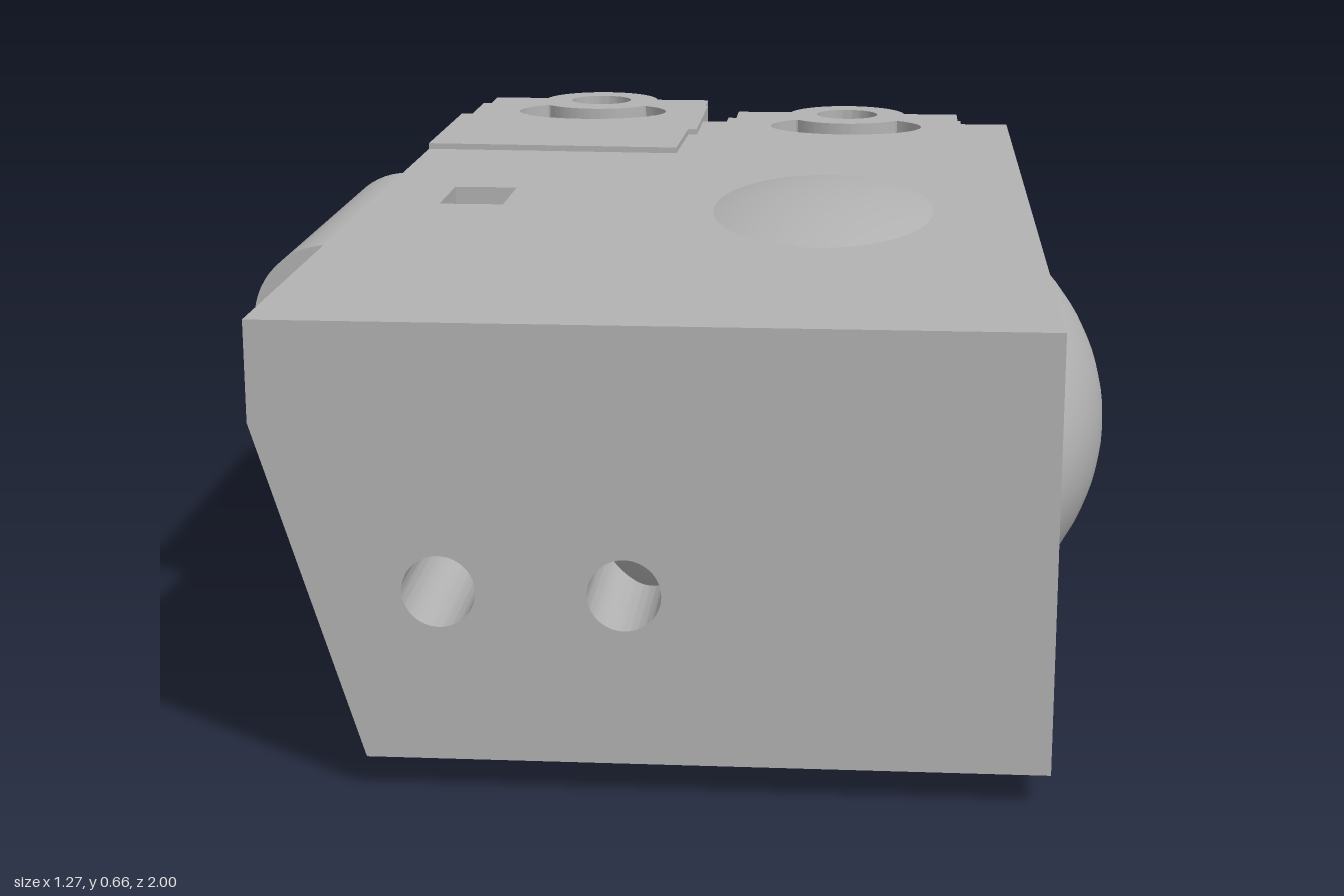
import * as THREE from 'three';
import { toCreasedNormals } from 'three/addons/utils/BufferGeometryUtils.js';

const TOP = 0.635, BOTTOM = 0.05;

export function createModel() {
  const model = new THREE.Group();
  model.name = 'palm';
  const grey = new THREE.MeshStandardMaterial({ color: 0xb3b3b3 });
  grey.name = 'grey plastic';

  const add = (name, geometry, parent = model) => {
    const mesh = new THREE.Mesh(geometry, grey);
    mesh.name = name;
    parent.add(mesh);
    return mesh;
  };
  const extrude = (shape, depth) => toCreasedNormals(
    new THREE.ExtrudeGeometry(shape, { depth, bevelEnabled: false, curveSegments: 28 }), 0.5);
  const circle = (x, y, r) => new THREE.Path().absarc(x, y, r, 0, Math.PI * 2, true);
  const box = (name, x0, x1, y0, y1, z0, z1, parent) =>
    add(name, new THREE.BoxGeometry(x1 - x0, y1 - y0, z1 - z0), parent)
      .position.set((x0 + x1) / 2, (y0 + y1) / 2, (z0 + z1) / 2);

  // Body cross-section; notches are [x0, x1, depth level], listed in path order
  function section({ groove, tunnels, top = [], bottom = [] }) {
    const s = new THREE.Shape();
    s.moveTo(-0.37, BOTTOM);
    for (const [a, b, y] of bottom) {
      s.lineTo(a, BOTTOM); s.lineTo(a, y); s.lineTo(b, y); s.lineTo(b, BOTTOM);
    }
    s.lineTo(0.52, BOTTOM);
    s.lineTo(0.52, TOP);
    for (const [a, b, y] of top) {
      s.lineTo(b, TOP); s.lineTo(b, y); s.lineTo(a, y); s.lineTo(a, TOP);
    }
    s.lineTo(-0.51, TOP);
    if (groove) s.absarc(-0.525, 0.5, 0.118, 1.443, -1.148, true);
    else s.lineTo(-0.51, 0.5);
    s.closePath();
    if (tunnels) s.holes.push(circle(-0.27, 0.28, 0.048), circle(-0.03, 0.28, 0.048));
    return s;
  }

  // Body, built in slices from back to front
  const slices = [
    [-0.69, -0.54, { top: [[0.08, 0.36, 0.2], [-0.405, -0.125, 0.2]] }],
    [-0.54, -0.33, { groove: true }],
    [-0.33, -0.18, { groove: true, bottom: [[0.17, 0.27, 0.25]] }],
    [-0.18, 0.04, { groove: true }],
    [0.04, 0.19, { groove: true, top: [[-0.4, -0.3, 0.2]] }],
    [0.19, 0.78, { groove: true, tunnels: true }],
    [0.78, 1, { tunnels: true }],
  ];
  const body = new THREE.Group();
  body.name = 'body';
  model.add(body);
  for (const [z0, z1, options] of slices)
    add('bodySlice', extrude(section(options), z1 - z0), body).position.z = z0;

  // Rounded bulge showing through the side, top and bottom
  const bulge = add('bulge', new THREE.SphereGeometry(1, 64, 48));
  bulge.scale.set(0.435, 0.328, 0.78);
  bulge.position.set(0.2, 0.333, 0.19);

  // Hinge tube for the thumb
  const tube = new THREE.Shape().absarc(-0.525, 0.5, 0.115, 0, Math.PI * 2, false);
  tube.holes.push(circle(-0.525, 0.5, 0.06));
  add('thumbHingeTube', extrude(tube, 0.63)).position.z = -0.2;

  // Horizontal knuckle shelf with pivot lug, x across and y towards the front
  function shelf(left, right, front, slotted) {
    const s = new THREE.Shape();
    s.moveTo(left, front);
    s.lineTo(left, 0.06);
    s.lineTo(Math.max(left, -0.21), 0.06);
    s.lineTo(Math.max(left, -0.21), -0.02);
    s.absarc(0, 0, 0.11, Math.PI + 0.18, Math.PI * 2 - 0.1, false);
    s.lineTo(0.21, -0.01);
    s.lineTo(0.21, 0.07);
    s.lineTo(right, 0.07);
    s.lineTo(right, front);
    s.closePath();
    s.holes.push(circle(0, 0, 0.058));
    if (slotted) {
      const slot = new THREE.Path();
      slot.absellipse(0, 0.15, 0.14, 0.1, -0.82, Math.PI + 0.82, false);
      slot.absarc(0, 0, 0.12, Math.PI - 0.7, 0.7, true);
      s.holes.push(slot);
    }
    return s;
  }

  function knuckle(name, x, z, topY, lift, lowLeft) {
    const group = new THREE.Group();
    group.name = name;
    model.add(group);
    const flat = (part, shape, y, thickness) => {
      const mesh = add(part, extrude(shape, thickness).rotateX(Math.PI / 2), group);
      mesh.position.set(x, y, z);
    };
    flat('upperShelf', shelf(-0.225, 0.215, -0.53 - z, true), topY, topY - 0.51 - lift);
    flat('lowerShelf', shelf(lowLeft, 0.215, -0.68 - z > 0.2 ? 0.27 : 0.265, true), 0.285 + lift, 0.085);
    // Side posts; the outer left one follows the slanted body side
    const post = new THREE.Shape();
    post.moveTo(-0.14, 0.2 + lift);
    post.lineTo(-0.14, 0.6);
    post.lineTo(-0.215, 0.6);
    post.lineTo(-0.215, 0.47);
    post.lineTo(lowLeft < -0.2 ? -0.215 : lowLeft, 0.2 + lift);
    post.closePath();
    add('leftPost', extrude(post, -0.67 - (z + 0.045)), group).position.set(x, 0, z + 0.045);
    box('rightPost', x + 0.14, x + 0.205, 0.2 + lift, 0.6, z + 0.045, -0.67, group);
  }
  knuckle('outerKnuckle', -0.265, -0.89, 0.645, 0.02, -0.152);
  knuckle('innerKnuckle', 0.22, -0.8, TOP, 0, -0.225);

  // Thin raised cover in front of the outer knuckle
  const cover = new THREE.Shape([[-0.51, -0.335], [-0.07, -0.318], [-0.062, -0.69], [-0.51, -0.69]]
    .map(([x, z]) => new THREE.Vector2(x, z)).reverse());
  const slot = new THREE.Path().absellipse(-0.265, -0.74, 0.14, 0.1, 0, Math.PI, false);
  const rim = slot.getPoints(16).filter(p => p.y > -0.69);
  // Cover edge follows the rounded slot
  const edge = [[-0.51, -0.69], [rim[rim.length - 1].x, -0.69]].map(p => new THREE.Vector2(...p));
  const outline = [...edge, ...rim.slice().reverse(), new THREE.Vector2(rim[0].x, -0.69),
    ...cover.getPoints().filter(p => p.x > -0.1), new THREE.Vector2(-0.51, -0.335)];
  add('knuckleCover', extrude(new THREE.Shape(outline), 0.012).rotateX(Math.PI / 2)).position.y = 0.645;

  // Tendon guides inside the knuckle pockets
  function guide(x0, z0, x1, z1, r) {
    const path = new THREE.LineCurve3(new THREE.Vector3(x0, 0.38, z0), new THREE.Vector3(x1, 0.36, z1));
    const mesh = add('tendonGuide', new THREE.TubeGeometry(path, 1, r, 20));
    const end = add('tendonGuideEnd', new THREE.CircleGeometry(r, 20), mesh);
    end.position.set(x0, 0.38, z0);
    end.rotation.y = Math.PI;
  }
  guide(-0.262, -0.81, -0.265, -0.53, 0.048);
  guide(0.245, -0.73, 0.2, -0.53, 0.04);

  return model;
}
